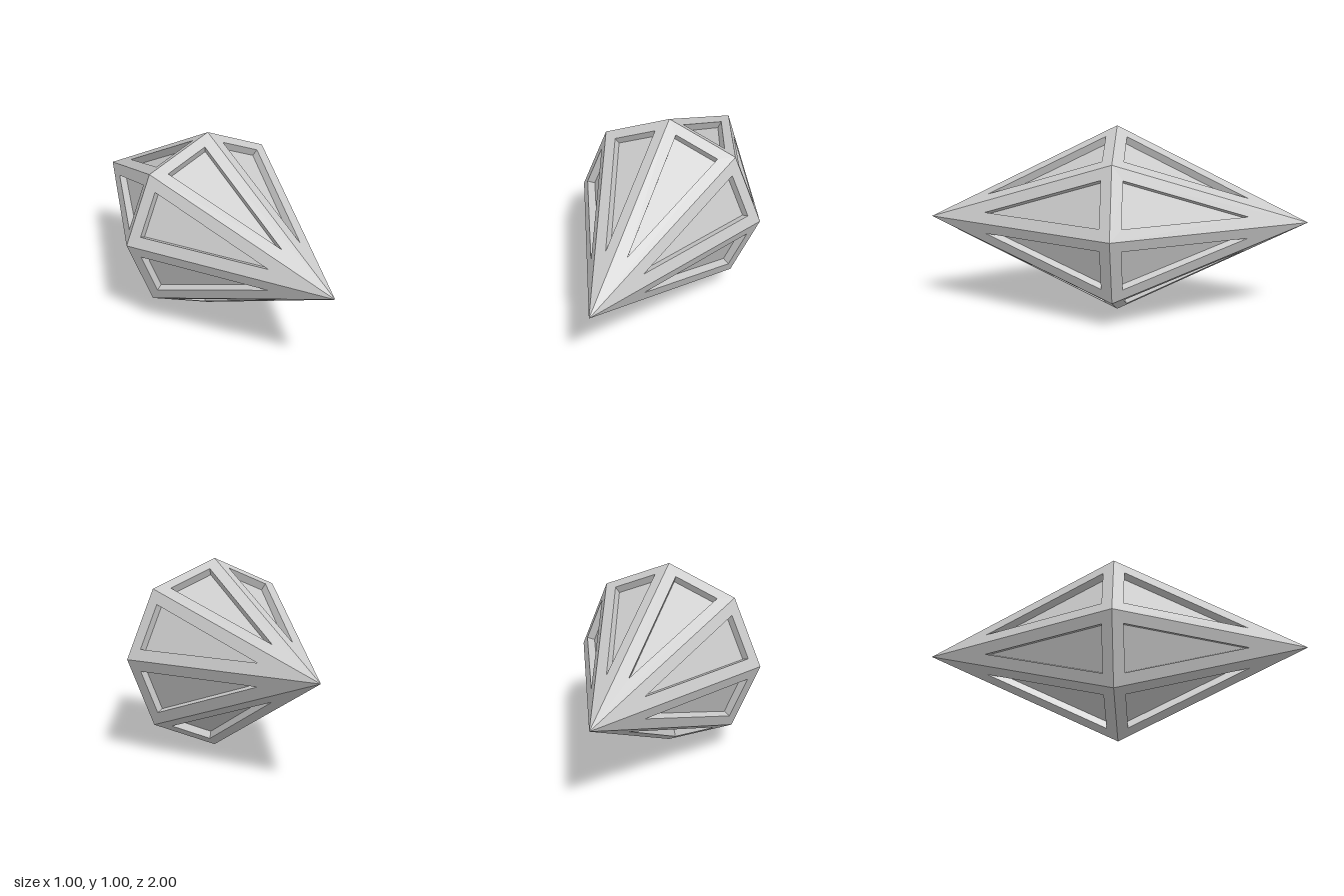
import * as THREE from 'three';
import { mergeGeometries } from 'three/addons/utils/BufferGeometryUtils.js';

const SIDES = 8, RADIUS = 0.5, HALF_LENGTH = 1;
const BORDER = 0.06, DEPTH = 0.04;

// One triangular facet with a sunken panel, tip at the origin, base at +y, outside at +z
function facetGeometries() {
  const apothem = RADIUS * Math.cos(Math.PI / SIDES);
  const w = RADIUS * Math.sin(Math.PI / SIDES);
  const L = Math.hypot(apothem, HALF_LENGTH);
  const outer = [[0, 0], [w, L], [-w, L]].map(([x, y]) => new THREE.Vector2(x, y));

  // even border: shrink the triangle about its incentre
  const inradius = (w * L) / (w + Math.hypot(w, L));
  const centre = new THREE.Vector2(0, L - inradius);
  const inner = outer.map((p) => p.clone().lerp(centre, BORDER / inradius));

  const frameShape = new THREE.Shape(outer);
  frameShape.holes.push(new THREE.Path(inner));
  const frame = new THREE.ShapeGeometry(frameShape);

  // recess: floor plus three walls facing into the pocket
  const floor = new THREE.ShapeGeometry(new THREE.Shape(inner)).translate(0, 0, -DEPTH).toNonIndexed();
  floor.deleteAttribute('uv');
  const corners = [];
  inner.forEach((p, i) => {
    const q = inner[(i + 1) % 3];
    corners.push(p.x, p.y, 0, q.x, q.y, 0, p.x, p.y, -DEPTH);
    corners.push(q.x, q.y, 0, q.x, q.y, -DEPTH, p.x, p.y, -DEPTH);
  });
  const walls = new THREE.BufferGeometry();
  walls.setAttribute('position', new THREE.Float32BufferAttribute(corners, 3));
  walls.computeVertexNormals();
  const recess = mergeGeometries([floor, walls]);

  // tilt onto the pyramid slope with the tip on the z axis
  const tilt = Math.atan2(-HALF_LENGTH, apothem);
  for (const g of [frame, recess]) g.rotateX(tilt).translate(0, 0, HALF_LENGTH);
  return { frame, recess };
}

export function createModel() {
  const model = new THREE.Group();
  model.name = 'crystal';
  const material = new THREE.MeshStandardMaterial({ color: 0xcccccc, flatShading: true });
  const { frame, recess } = facetGeometries();

  // two eight-sided pyramids, base to base
  for (const name of ['frontPyramid', 'backPyramid']) {
    const pyramid = new THREE.Group();
    pyramid.name = name;
    for (let i = 0; i < SIDES; i++) {
      const facet = new THREE.Group();
      facet.name = 'facet';
      const border = new THREE.Mesh(frame, material);
      border.name = 'facetBorder';
      const panel = new THREE.Mesh(recess, material);
      panel.name = 'sunkenPanel';
      facet.add(border, panel);
      facet.rotation.z = ((i + 0.5) * 2 * Math.PI) / SIDES;
      pyramid.add(facet);
    }
    if (name === 'backPyramid') pyramid.rotation.y = Math.PI;
    pyramid.position.y = RADIUS;
    model.add(pyramid);
  }
  return model;
}
